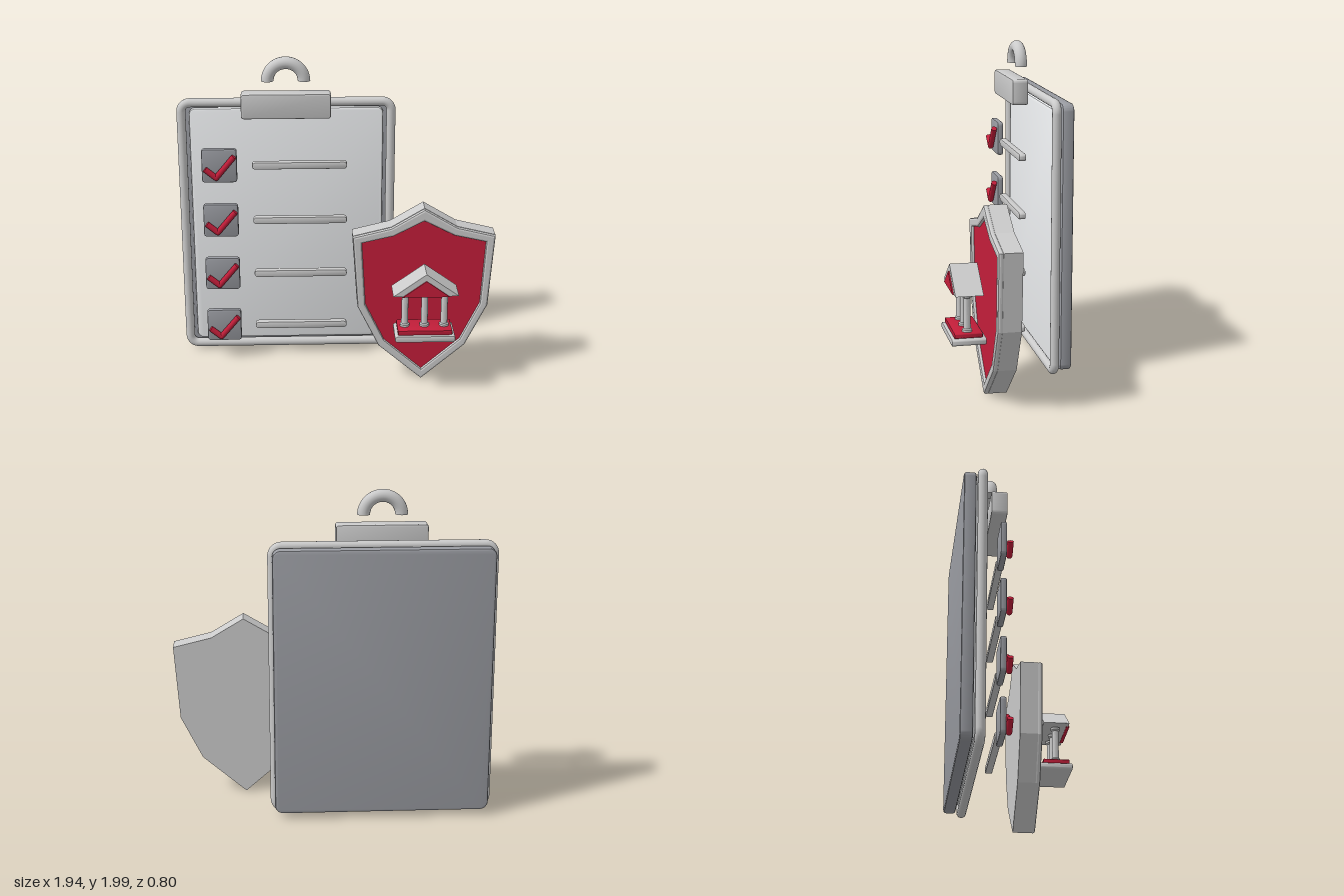
import * as THREE from 'three';
import { toCreasedNormals } from 'three/addons/utils/BufferGeometryUtils.js';

const mat = (color) => new THREE.MeshStandardMaterial({ color });
const GREY = mat(0xcccccc);
const SLATE = mat(0x9a9ca2);
const PAPER = mat(0xf0f2f4);
const RED = mat(0xc41e3a);

function add(parent, name, geometry, material, x = 0, y = 0, z = 0) {
  const mesh = new THREE.Mesh(geometry, material);
  mesh.name = name;
  mesh.position.set(x, y, z);
  parent.add(mesh);
  return mesh;
}

function group(parent, name, x = 0, y = 0, z = 0) {
  const g = new THREE.Group();
  g.name = name;
  g.position.set(x, y, z);
  parent.add(g);
  return g;
}

// Extrusion filling z0..z1, with the bevel kept inside the outline
function extrude(shape, z0, z1, bevel = 0, crease = 0.5) {
  const g = new THREE.ExtrudeGeometry(shape, {
    depth: z1 - z0 - 2 * bevel, curveSegments: 6,
    bevelEnabled: bevel > 0, bevelThickness: bevel, bevelSize: bevel,
    bevelOffset: -bevel, bevelSegments: 2,
  });
  g.translate(0, 0, z0 + bevel);
  return toCreasedNormals(g, crease);
}

function roundedRect(w, h, r) {
  const s = new THREE.Shape();
  const a = w / 2 - r, b = h / 2 - r;
  s.absarc(a, b, r, 0, Math.PI / 2);
  s.absarc(-a, b, r, Math.PI / 2, Math.PI);
  s.absarc(-a, -b, r, Math.PI, Math.PI * 1.5);
  s.absarc(a, -b, r, Math.PI * 1.5, Math.PI * 2);
  return s;
}

const slab = (w, h, z0, z1, r, bevel) => extrude(roundedRect(w, h, r), z0, z1, bevel);

// Round bar between two points in the xy plane
function bar(parent, name, [x0, y0], [x1, y1], r, material) {
  const dx = x1 - x0, dy = y1 - y0;
  const m = add(parent, name, new THREE.CylinderGeometry(r, r, Math.hypot(dx, dy), 16),
    material, (x0 + x1) / 2, (y0 + y1) / 2, 0);
  m.rotation.z = Math.atan2(dy, dx) - Math.PI / 2;
}

// Symmetric outline from points listed top to bottom on the right half
function mirrored(half) {
  const left = half.slice(1, -1).reverse().map(([x, y]) => [-x, y]);
  return half.concat(left).reverse().map(([x, y]) => new THREE.Vector2(x, y));
}

function buildBoard(root) {
  const board = group(root, 'clipboard', -0.296, 0.87, 0);
  add(board, 'backBoard', slab(1.3, 1.645, -0.4, -0.328, 0.05, 0.014), SLATE);
  add(board, 'paper', slab(1.2, 1.57, -0.322, -0.285, 0.04, 0.01), PAPER);

  // Round frame: four straight bars and four quarter bends
  const frame = group(board, 'frame', 0, 0, -0.292);
  const r = 0.028, bend = 0.055, w = 0.648, h = 0.822;
  const a = w - bend, b = h - bend;
  for (const s of [-1, 1]) {
    bar(frame, 'frameSide', [s * w, -b], [s * w, b], r, GREY);
    bar(frame, 'frameRail', [-a, s * h], [a, s * h], r, GREY);
  }
  [[a, b], [-a, b], [-a, -b], [a, -b]].forEach(([x, y], i) => {
    const corner = add(frame, 'frameCorner',
      new THREE.TorusGeometry(bend, r, 16, 8, Math.PI / 2), GREY, x, y);
    corner.rotation.z = i * Math.PI / 2;
  });
}

function buildClip(root) {
  const clip = group(root, 'clip', -0.296, 0, 0);
  add(clip, 'clipBlock', slab(0.545, 0.155, -0.208, -0.11, 0.018, 0.008), GREY, 0, 1.715);
  const loop = group(clip, 'hangingLoop', 0, 1.855, -0.197);
  add(loop, 'loopArch', new THREE.TorusGeometry(0.111, 0.038, 16, 28, Math.PI), GREY);
  for (const s of [-1, 1]) {
    add(loop, 'loopEnd', new THREE.CircleGeometry(0.038, 16), GREY, s * 0.111)
      .rotation.x = Math.PI / 2;
  }
}

function buildChecklist(root) {
  const boxGeo = slab(0.217, 0.217, -0.176, -0.14, 0.02, 0.008);
  const lineGeo = slab(0.585, 0.045, -0.173, -0.131, 0.02, 0.006);
  const tick = [[-0.087, -0.012], [-0.02, -0.068], [0.092, 0.068]];
  for (let i = 0; i < 4; i++) {
    const row = group(root, 'checklistRow', 0, 1.33 - i * 0.3625, 0);
    add(row, 'checkBox', boxGeo, SLATE, -0.711);
    add(row, 'textLine', lineGeo, GREY, -0.217);
    const mark = group(row, 'checkMark', -0.711, 0, -0.118);
    bar(mark, 'shortStroke', tick[0], tick[1], 0.018, RED);
    bar(mark, 'longStroke', tick[1], tick[2], 0.018, RED);
    add(mark, 'strokeJoint', new THREE.SphereGeometry(0.018, 14, 10), RED, ...tick[1]);
  }
}

function buildShield(root) {
  const shield = group(root, 'shield', 0.532, 0, 0);
  const outer = mirrored([[0, 1.155], [0.2, 1.035], [0.434, 0.978],
    [0.402, 0.515], [0.27, 0.245], [0, 0.01]]);
  const inner = mirrored([[0, 1.078], [0.185, 0.982], [0.378, 0.938],
    [0.354, 0.53], [0.236, 0.285], [0, 0.078]]);

  add(shield, 'shieldBody', extrude(new THREE.Shape(outer), 0.045, 0.156, 0, 0.1), GREY);
  const rim = new THREE.Shape(outer);
  rim.holes.push(new THREE.Path(inner));
  add(shield, 'shieldRim', extrude(rim, 0.15, 0.185, 0.013, 0.3), GREY);
  add(shield, 'shieldPanel', extrude(new THREE.Shape(inner), 0.15, 0.166, 0, 0.1), RED);
}

function triangle(half, base, apex) {
  return new THREE.Shape([new THREE.Vector2(-half, base), new THREE.Vector2(half, base),
    new THREE.Vector2(0, apex)]);
}

function buildTemple(root) {
  const temple = group(root, 'temple', 0.532, 0, 0);
  add(temple, 'roof', extrude(triangle(0.198, 0.675, 0.818), 0.22, 0.383, 0, 0.1), GREY);
  add(temple, 'pediment', extrude(triangle(0.142, 0.673, 0.776), 0.37, 0.391, 0, 0.1), RED);

  // Turned column with a base ring and a capital ring
  const profile = [[0, 0], [0.029, 0], [0.029, 0.014], [0.021, 0.02],
    [0.02, 0.2], [0.029, 0.208], [0.029, 0.222], [0, 0.222]];
  const column = toCreasedNormals(
    new THREE.LatheGeometry(profile.map(([x, y]) => new THREE.Vector2(x, y)), 20), 0.5);
  for (const x of [-0.12, 0, 0.12]) add(temple, 'column', column, GREY, x, 0.445, 0.303);

  add(temple, 'upperStep', slab(0.33, 0.03, 0.22, 0.384, 0.008, 0.004), RED, 0, 0.431);
  add(temple, 'lowerStep', slab(0.366, 0.04, 0.2, 0.402, 0.016, 0.006), GREY, 0, 0.396);
}

export function createModel() {
  const root = new THREE.Group();
  root.name = 'checklistWithShield';
  buildBoard(root);
  buildClip(root);
  buildChecklist(root);
  buildShield(root);
  buildTemple(root);
  return root;
}
